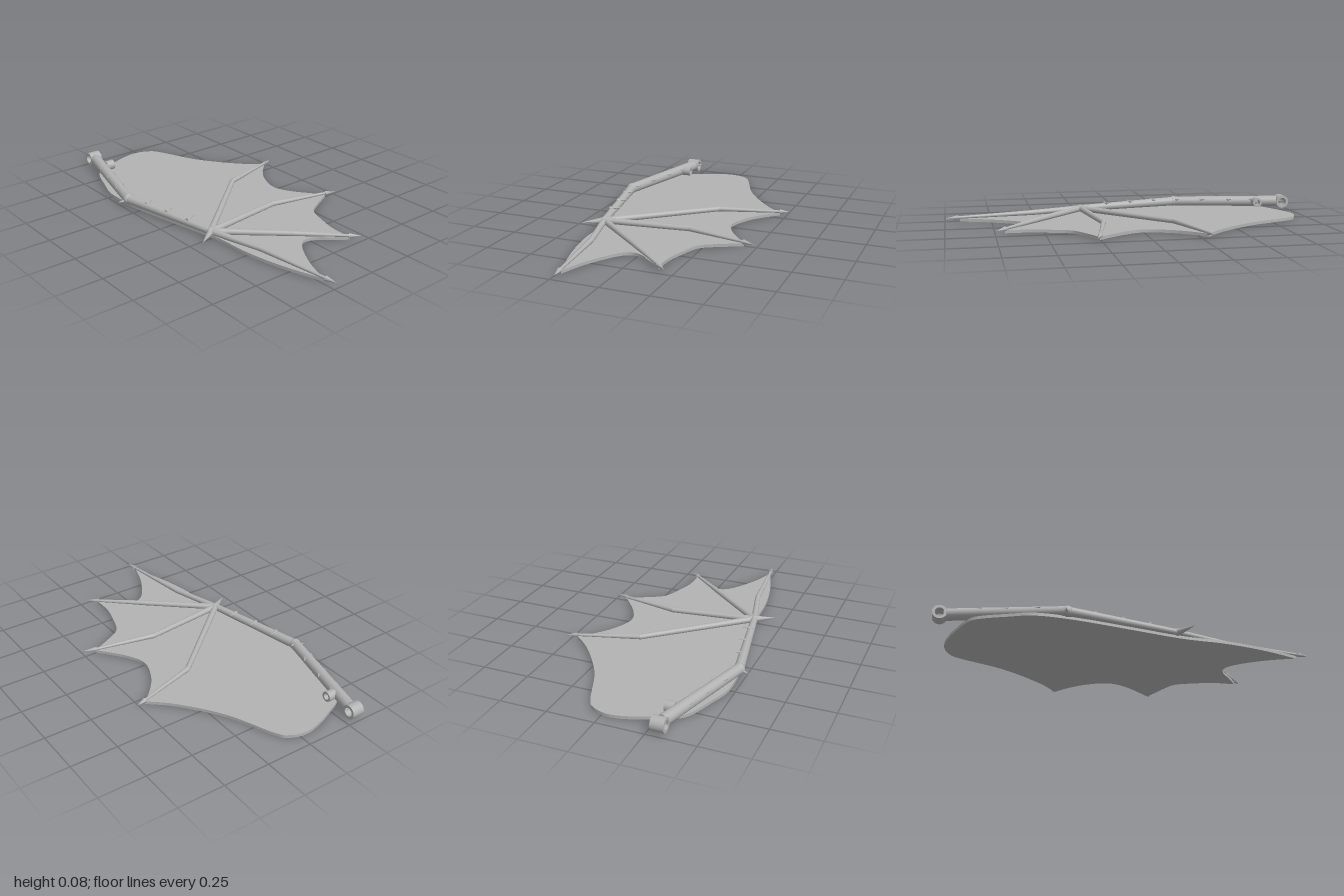
import * as THREE from 'three';

const V = (x, y, z) => new THREE.Vector3(x, y, z);
const UP = V(0, 1, 0);

export function createModel() {
  const wing = new THREE.Group();
  wing.name = 'batWing';
  const grey = new THREE.MeshStandardMaterial({ color: 0xb2b2b2 });
  grey.name = 'plain grey';

  function add(name, geometry) {
    const mesh = new THREE.Mesh(geometry, grey);
    mesh.name = name;
    wing.add(mesh);
    return mesh;
  }

  // tapered round rod between two points
  function rod(name, a, b, ra, rb, sides = 20) {
    const dir = b.clone().sub(a);
    const mesh = add(name, new THREE.CylinderGeometry(rb, ra, dir.length(), sides));
    mesh.position.copy(a).add(b).multiplyScalar(0.5);
    mesh.quaternion.setFromUnitVectors(UP, dir.normalize());
    return mesh;
  }
  const spike = (name, a, b, r) => rod(name, a, b, r, 0, 12);
  const ball = (name, p, r) => add(name, new THREE.SphereGeometry(r, 20, 12)).position.copy(p);

  // pierced socket lying along x
  function socket(name, p, outer, inner, width) {
    const w = width / 2;
    const profile = [[inner, -w], [outer, -w], [outer, w], [inner, w], [inner, -w]];
    const points = [];
    profile.forEach((q, i) => {
      points.push(new THREE.Vector2(...q));
      if (i > 0 && i < 4) points.push(new THREE.Vector2(...q));
    });
    const mesh = add(name, new THREE.LatheGeometry(points, 32));
    mesh.rotation.z = -Math.PI / 2;
    mesh.position.copy(p);
  }

  // membrane outline: one smooth curve per edge, [x, z], each starting at the last end
  const edges = [
    [[-0.15, -0.91], [-0.04, -0.934], [0.05, -0.908], [0.1, -0.845], [0.2, -0.61], [0.345, -0.406], [0.465, -0.293]],
    [[0.39, -0.22], [0.325, -0.13], [0.283, -0.005], [0.325, 0.11], [0.435, 0.253]],
    [[0.29, 0.327], [0.23, 0.375], [0.193, 0.475], [0.166, 0.58], [0.162, 0.70]],
    [[0.08, 0.64], [0.03, 0.597], [-0.035, 0.58], [-0.1, 0.633], [-0.18, 0.77], [-0.235, 0.92]],
    [[-0.3, 0.71], [-0.34, 0.5], [-0.356, 0.264], [-0.405, 0], [-0.46, -0.3], [-0.472, -0.5], [-0.435, -0.633], [-0.377, -0.786], [-0.31, -0.84], [-0.245, -0.87]],
  ];
  const outline = new THREE.Shape();
  outline.moveTo(-0.245, 0.87);
  edges.forEach((e) => outline.splineThru(e.map(([x, z]) => new THREE.Vector2(x, -z))));
  const skin = new THREE.ExtrudeGeometry(outline, { depth: 0.016, bevelEnabled: false, curveSegments: 10 });
  skin.rotateX(-Math.PI / 2);
  add('membrane', skin);

  // arm bones
  const shoulder = V(-0.308, 0.047, -0.935);
  const elbow = V(-0.465, 0.04, -0.345);
  const wrist = V(-0.355, 0.033, 0.235);
  rod('upperArm', shoulder, elbow, 0.031, 0.028);
  rod('forearm', elbow, wrist, 0.026, 0.018);
  ball('elbowJoint', elbow, 0.03);
  ball('wristJoint', wrist, 0.021);
  socket('shoulderSocket', V(-0.306, 0.046, -0.963), 0.037, 0.023, 0.068);
  socket('sideSocket', V(-0.294, 0.046, -0.808), 0.027, 0.016, 0.048);

  // spikes along the arm
  spike('elbowClaw', V(-0.47, 0.035, -0.345), V(-0.525, 0.029, -0.36), 0.013);
  spike('elbowSpike', V(-0.455, 0.05, -0.348), V(-0.415, 0.055, -0.368), 0.011);
  spike('shoulderSpike', V(-0.29, 0.05, -0.935), V(-0.25, 0.055, -0.958), 0.01);
  [0.25, 0.47, 0.73].forEach((t) => {
    const p = shoulder.clone().lerp(elbow, t);
    spike('upperArmSpike', p.clone().add(V(0.018, 0.012, 0.01)), p.clone().add(V(0.045, 0.015, -0.015)), 0.009);
    spike('upperArmSpike', p.clone().add(V(-0.018, 0.012, 0)), p.clone().add(V(-0.04, 0.014, 0.03)), 0.009);
  });
  [0.23, 0.48, 0.73].forEach((t) => {
    const p = elbow.clone().lerp(wrist, t);
    spike('forearmSpike', p.clone().add(V(-0.01, 0.017, 0.01)), p.clone().add(V(0.048, 0.021, -0.008)), 0.01);
  });

  // fingers: knuckle, end and claw tip as [x, z]
  const fingers = [
    [[0.14, -0.195], [0.465, -0.291], [0.517, -0.306]],
    [[0.108, 0.18], [0.43, 0.251], [0.495, 0.273]],
    [[-0.05, 0.507], [0.158, 0.697], [0.208, 0.743]],
    [[-0.28, 0.53], [-0.235, 0.93], [-0.227, 0.995]],
  ];
  fingers.forEach(([k, e, t]) => {
    const knuckle = V(k[0], 0.029, k[1]);
    const end = V(e[0], 0.023, e[1]);
    rod('fingerBone', wrist, knuckle, 0.017, 0.014);
    ball('knuckle', knuckle, 0.0145);
    rod('fingerTipBone', knuckle, end, 0.014, 0.007);
    spike('fingerClaw', end, V(t[0], 0.022, t[1]), 0.013);
  });

  // thumb claw
  spike('thumbClaw', V(-0.36, 0.033, 0.24), V(-0.46, 0.028, 0.303), 0.018);
  return wing;
}
